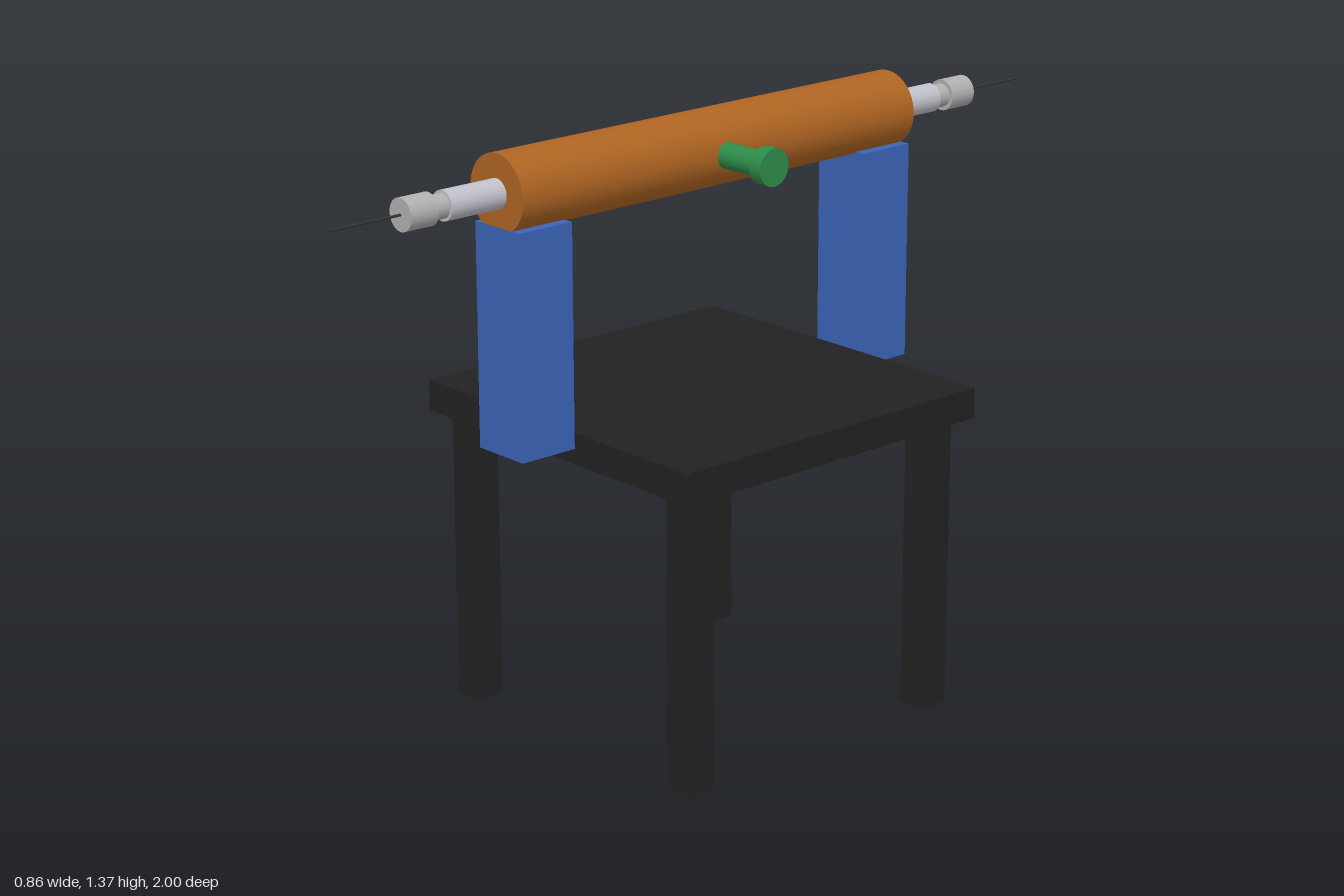
import * as THREE from 'three';

const AXIS_Y = 1.288; // height of the tube's centre line

const material = (color) => new THREE.MeshStandardMaterial({ color });
const black = material(0x222222);
const blue = material(0x3a64b8);
const copper = material(0xae6422);
const steel = material(0xc0c0ca);
const grey = material(0xb0b0b0);
const green = material(0x2e8b4a);
const dark = material(0x333333);

export function createModel() {
  const model = new THREE.Group();

  const add = (name, geometry, mat, x, y, z) => {
    const mesh = new THREE.Mesh(geometry, mat);
    mesh.name = name;
    mesh.position.set(x, y, z);
    model.add(mesh);
  };
  const box = (name, mat, w, h, d, x, y, z) =>
    add(name, new THREE.BoxGeometry(w, h, d), mat, x, y, z);
  // cylinders on the centre line, spanning from a to b along z or x
  const rodZ = (name, mat, r, a, b, sides = 32) =>
    add(name, new THREE.CylinderGeometry(r, r, Math.abs(b - a), sides).rotateX(Math.PI / 2), mat, 0, AXIS_Y, (a + b) / 2);
  const rodX = (name, mat, r, a, b) =>
    add(name, new THREE.CylinderGeometry(r, r, b - a, 32).rotateZ(Math.PI / 2), mat, (a + b) / 2, AXIS_Y, 0);

  // table
  box('tableTop', black, 0.857, 0.071, 0.857, 0, 0.716, 0);
  for (const x of [-1, 1])
    for (const z of [-1, 1])
      box('tableLeg', black, 0.071, 0.68, 0.071, x * 0.357, 0.34, z * 0.357);

  // main tube and the wire through it
  rodZ('mainTube', copper, 0.086, -0.571, 0.571, 48);
  rodZ('wire', dark, 0.003, -1, 1, 12);

  // support posts and stepped end fittings, mirrored front to back
  for (const s of [1, -1]) {
    box('supportPost', blue, 0.143, 0.5, 0.143, 0, 0.966, s * 0.5);
    rodZ('endRod', steel, 0.033, s * 0.56, s * 0.714);
    rodZ('endNeck', grey, 0.027, s * 0.71, s * 0.755);
    rodZ('endCap', grey, 0.036, s * 0.75, s * 0.821);
  }

  // side port with its flange
  rodX('sidePort', green, 0.029, 0.05, 0.2);
  rodX('portFlange', green, 0.042, 0.197, 0.231);

  return model;
}
